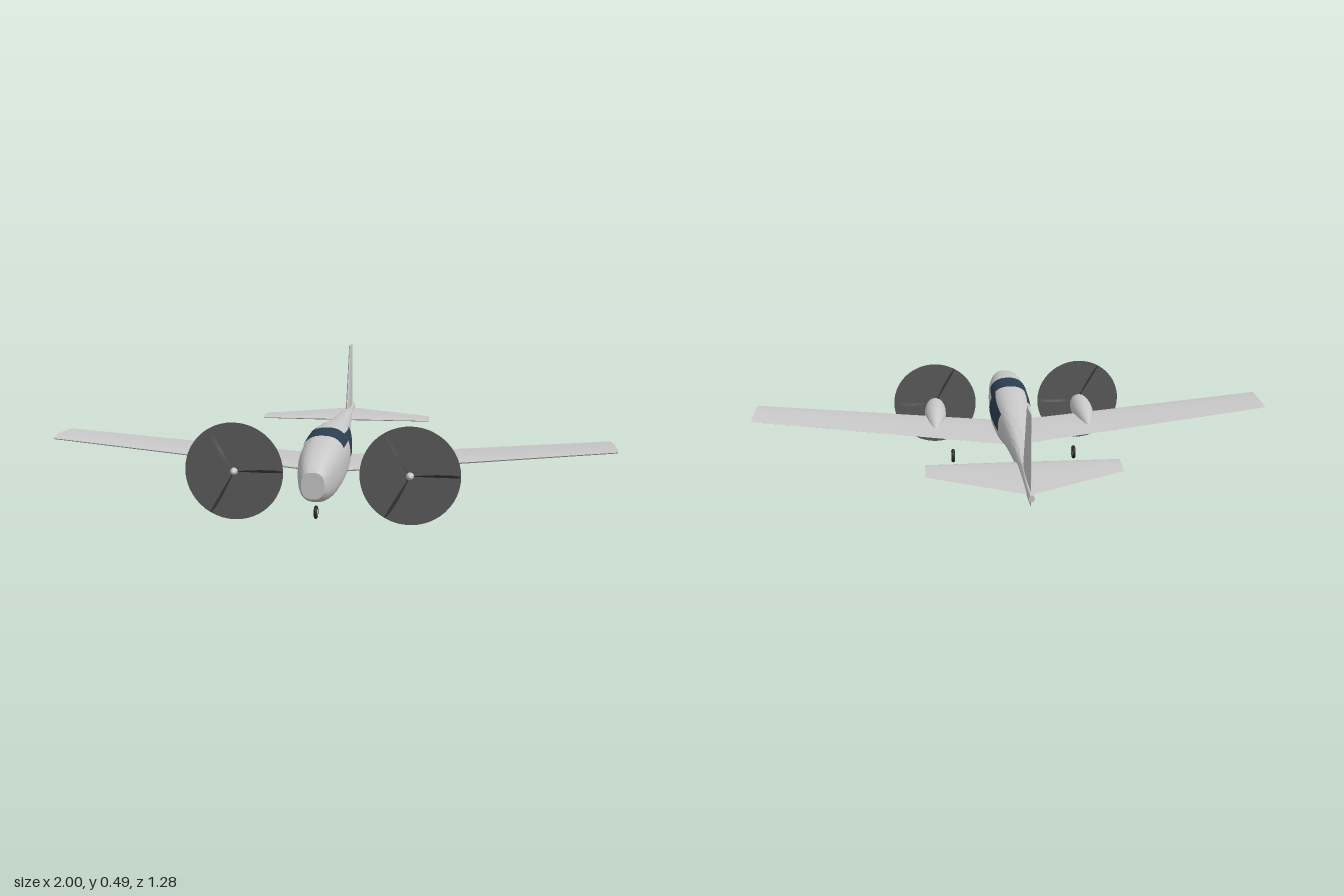
import * as THREE from 'three';
import { toCreasedNormals } from 'three/addons/utils/BufferGeometryUtils.js';

const material = (name, color, side = THREE.FrontSide) => {
  const m = new THREE.MeshStandardMaterial({ color, side });
  m.name = name;
  return m;
};

// Surface through a list of equally long point rows; closed rows get end caps
function loft(rows, closed = true) {
  const n = rows[0].length, pos = rows.flat(2), idx = [];
  const cols = closed ? n : n - 1;
  for (let i = 0; i < rows.length - 1; i++) {
    for (let j = 0; j < cols; j++) {
      const a = i * n + j, b = i * n + (j + 1) % n;
      idx.push(a, b, a + n, b, b + n, a + n);
    }
  }
  if (closed) {
    [0, rows.length - 1].forEach((r, end) => {
      const c = pos.length / 3;
      for (let k = 0; k < 3; k++) pos.push(rows[r].reduce((s, p) => s + p[k], 0) / n);
      for (let j = 0; j < n; j++) {
        const a = r * n + j, b = r * n + (j + 1) % n;
        idx.push(...(end ? [a, b, c] : [b, a, c]));
      }
    });
    // Turn the faces outward when the signed volume is negative
    const v = i => new THREE.Vector3().fromArray(pos, idx[i] * 3);
    let volume = 0;
    for (let i = 0; i < idx.length; i += 3) volume += v(i).dot(v(i + 1).cross(v(i + 2)));
    if (volume < 0) idx.reverse();
  }
  const g = new THREE.BufferGeometry();
  g.setAttribute('position', new THREE.Float32BufferAttribute(pos, 3));
  g.setIndex(idx);
  return toCreasedNormals(g, 0.7);
}

// Aerofoil outline: [distance from leading edge 0..1, half thickness -0.5..0.5]
const AEROFOIL = [];
for (let i = 0; i < 28; i++) {
  const a = (i / 28) * Math.PI * 2, c = (1 - Math.cos(a)) / 2;
  const t = 1.45 * Math.sqrt(c) - 0.63 * c - 1.76 * c * c + 1.42 * c ** 3 - 0.46 * c ** 4;
  AEROFOIL.push([c, Math.sign(Math.sin(a)) * Math.max(t, 0.02)]);
}

// Fuselage stations: z, top, bottom, half width
const STATIONS = [
  [-0.64, 0.230, 0.207, 0.009], [-0.5, 0.238, 0.195, 0.015], [-0.3, 0.250, 0.179, 0.027],
  [-0.1, 0.264, 0.157, 0.045], [0, 0.273, 0.137, 0.055], [0.1, 0.287, 0.112, 0.068],
  [0.2, 0.293, 0.098, 0.077], [0.3, 0.293, 0.095, 0.079], [0.4, 0.289, 0.096, 0.077],
  [0.5, 0.281, 0.100, 0.070], [0.56, 0.269, 0.108, 0.060], [0.6, 0.252, 0.120, 0.051],
  [0.64, 0.226, 0.138, 0.038],
];
const profile = new THREE.CubicInterpolant(
  STATIONS.map(s => s[0]), STATIONS.flatMap(s => s.slice(1)), 3, new Float32Array(3));
const POWER = 2.5;
const bend = v => Math.sign(v) * Math.abs(v) ** (2 / POWER);

function hullPoint(z, angle, grow = 0) {
  const [top, bottom, w] = profile.evaluate(z);
  return [(w + grow) * bend(Math.cos(angle)),
    (top + bottom) / 2 + ((top - bottom) / 2 + grow) * bend(Math.sin(angle)), z];
}
function hullAngle(z, y) {
  const [top, bottom] = profile.evaluate(z);
  const t = (2 * y - top - bottom) / (top - bottom);
  return Math.asin(Math.sign(t) * Math.min(1, Math.abs(t)) ** (POWER / 2));
}
// Thin pane on the hull between two angle rules
function pane(z0, z1, from, to) {
  const rows = [];
  for (let i = 0; i <= 16; i++) {
    const z = z0 + (z1 - z0) * i / 16, a = from(z), b = to(z), row = [];
    for (let j = 0; j <= 24; j++) row.push(hullPoint(z, a + (b - a) * j / 24, 0.003));
    rows.push(row);
  }
  return loft(rows, false);
}

export function createModel() {
  const model = new THREE.Group();
  model.name = 'airplane';
  const paint = material('light grey paint', 0xc8c8c8);
  const glass = material('dark blue glass', 0x2c3e50, THREE.DoubleSide);
  const discGrey = material('propeller disc grey', 0x5c5c5c, THREE.DoubleSide);
  const bladeGrey = material('blade grey', 0x3c3c3c);
  const rubber = material('black rubber', 0x2a2a2a);
  const add = (parent, name, geometry, mat) => {
    const mesh = new THREE.Mesh(geometry, mat);
    mesh.name = name;
    parent.add(mesh);
    return mesh;
  };

  // Fuselage
  const hull = [];
  for (let i = 0; i <= 64; i++) {
    const z = -0.64 + 1.28 * i / 64, ring = [];
    for (let j = 0; j < 40; j++) ring.push(hullPoint(z, j / 40 * Math.PI * 2));
    hull.push(ring);
  }
  add(model, 'fuselage', loft(hull), paint);

  // Windows
  add(model, 'canopyWindow', pane(0.26, 0.385, z => hullAngle(z, 0.25),
    z => Math.PI - hullAngle(z, 0.25)), glass);
  const low = z => hullAngle(z, 0.192);
  const high = z => hullAngle(z, 0.257 + (z - 0.04) * 0.075);
  add(model, 'leftSideWindow', pane(0.04, 0.26, low, high), glass);
  add(model, 'rightSideWindow', pane(0.04, 0.26, z => Math.PI - low(z), z => Math.PI - high(z)), glass);

  // Wing and tailplane sections: x, y, leading z, trailing z, thickness
  const flatFoil = sections => loft(sections.map(([x, y, lead, trail, t]) =>
    AEROFOIL.map(([c, h]) => [x, y + h * t, lead + (trail - lead) * c])));
  add(model, 'wing', flatFoil([
    [-1, 0.236, 0.277, 0.097, 0.018], [0, 0.141, 0.277, 0.017, 0.026], [1, 0.236, 0.277, 0.097, 0.018],
  ]), paint);
  add(model, 'tailplane', flatFoil([
    [-0.34, 0.213, -0.325, -0.43, 0.011], [0, 0.213, -0.325, -0.597, 0.022],
    [0.34, 0.213, -0.325, -0.43, 0.011],
  ]), paint);

  // Fin sections: y, leading z, trailing z, thickness
  const fin = [[0.18, -0.352, -0.62, 0.018], [0.494, -0.498, -0.612, 0.01]];
  add(model, 'fin', loft(fin.map(([y, lead, trail, t]) =>
    AEROFOIL.map(([c, h]) => [h * t, y, lead + (trail - lead) * c]))), paint);

  // Engines, each with nacelle, spinner, three blades and spinning disc
  const lathe = pts => new THREE.LatheGeometry(
    new THREE.SplineCurve(pts.map(p => new THREE.Vector2(...p))).getPoints(28)
      .map(p => p.setX(Math.max(0, p.x))), 28).rotateX(Math.PI / 2);
  const nacelle = lathe([[0, 0.105], [0.016, 0.15], [0.030, 0.2], [0.041, 0.27], [0.042, 0.34],
    [0.036, 0.395], [0.024, 0.422], [0, 0.426]]);
  const spinner = lathe([[0.013, 0.42], [0.013, 0.437], [0.008, 0.45], [0, 0.457]]);
  // Blade sections: radius, chord, pitch
  const blade = loft([[0.008, 0.008, 1.1], [0.04, 0.017, 0.95], [0.09, 0.022, 0.7],
    [0.14, 0.018, 0.5], [0.168, 0.008, 0.4]].map(([r, chord, pitch]) =>
    AEROFOIL.map(([c, h]) => {
      const u = (c - 0.5) * chord, v = h * chord * 0.16;
      return [r, u * Math.cos(pitch) - v * Math.sin(pitch), u * Math.sin(pitch) + v * Math.cos(pitch)];
    })));
  for (const side of [1, -1]) {
    const engine = new THREE.Group();
    engine.name = side > 0 ? 'leftEngine' : 'rightEngine';
    engine.position.set(0.3 * side, 0.172, 0);
    add(engine, 'nacelle', nacelle, paint);
    add(engine, 'spinner', spinner, paint);
    add(engine, 'propellerDisc', new THREE.CircleGeometry(0.17, 48), discGrey).position.z = 0.436;
    for (let i = 0; i < 3; i++) {
      const b = add(engine, 'propellerBlade', blade, bladeGrey);
      b.position.z = 0.436;
      b.rotation.z = i * Math.PI * 2 / 3;
    }
    model.add(engine);
  }

  // Wheels: x, y, z, outer radius
  const wheels = { noseWheel: [0, 0.075, 0.566, 0.022], leftWheel: [0.236, 0.08, 0.078, 0.026],
    rightWheel: [-0.236, 0.08, 0.078, 0.026] };
  for (const [name, [x, y, z, r]] of Object.entries(wheels)) {
    const wheel = new THREE.Group();
    wheel.name = name;
    wheel.position.set(x, y, z);
    add(wheel, 'tyre', new THREE.TorusGeometry(r * 0.74, r * 0.26, 12, 28).rotateY(Math.PI / 2), rubber);
    add(wheel, 'hub', new THREE.CylinderGeometry(r * 0.58, r * 0.58, r * 0.4, 24).rotateZ(Math.PI / 2), paint);
    model.add(wheel);
  }
  return model;
}
